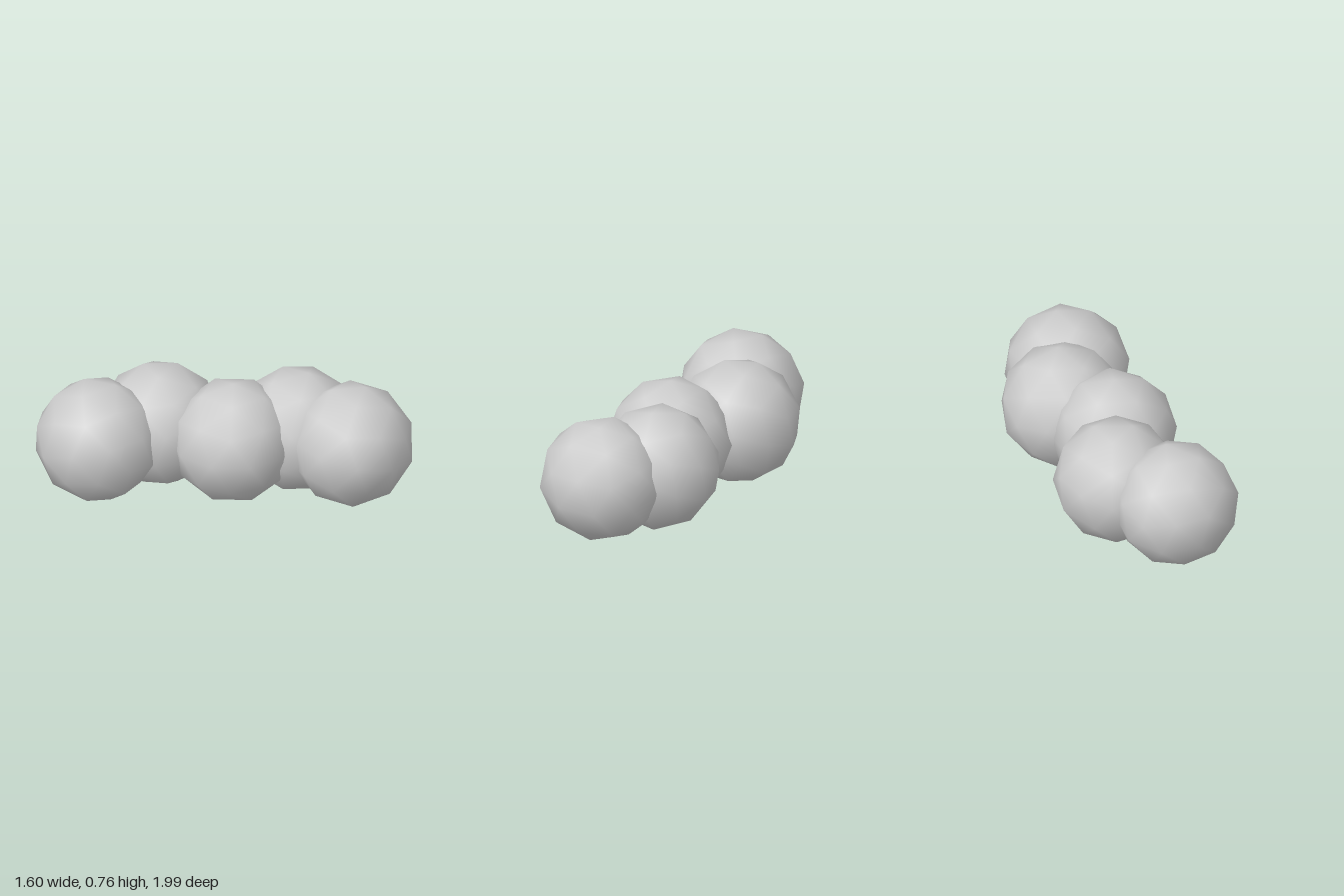
import * as THREE from 'three';

// Five overlapping low-poly balls in a zigzag chain.
// at: centre; up and edge: directions that set how each ball is turned.
const BALLS = [
  { at: [-0.43, 0.385, -0.63], up: [0.194, 0.957, 0.213], edge: [-0.168, 0.225, -0.96] },
  { at: [-0.04, 0.385, -0.45], up: [0.417, 0.236, -0.878], edge: [0.875, 0.162, 0.459] },
  { at: [0.05, 0.385, 0.025], up: [-0.741, 1.447, 0.5], edge: [-0.741, -0.553, 0.5] },
  { at: [0.395, 0.385, 0.25], up: [0.1, 0.975, 0.14], edge: [0.1, 0.13, -0.985] },
  { at: [0.43, 0.385, 0.625], up: [0.348, 1.254, 1.045], edge: [-0.032, -0.686, 0.845] },
];

// Rotation whose y axis is up and whose x axis is edge, squared to up
function turn(up, edge) {
  const y = new THREE.Vector3(...up).normalize();
  const x = new THREE.Vector3(...edge);
  x.addScaledVector(y, -x.dot(y)).normalize();
  const z = new THREE.Vector3().crossVectors(x, y);
  return new THREE.Quaternion().setFromRotationMatrix(new THREE.Matrix4().makeBasis(x, y, z));
}

export function createModel() {
  const group = new THREE.Group();
  group.name = 'ballChain';
  const lightGrey = new THREE.MeshStandardMaterial({ color: 0xcccccc });
  lightGrey.name = 'lightGrey';

  // One subdivided icosahedron with smooth normals serves every ball
  const geometry = new THREE.IcosahedronGeometry(0.38, 1);
  BALLS.forEach(({ at, up, edge }, i) => {
    const ball = new THREE.Mesh(geometry, lightGrey);
    ball.name = `ball${i + 1}`;
    ball.position.set(...at);
    ball.quaternion.copy(turn(up, edge));
    group.add(ball);
  });
  return group;
}
